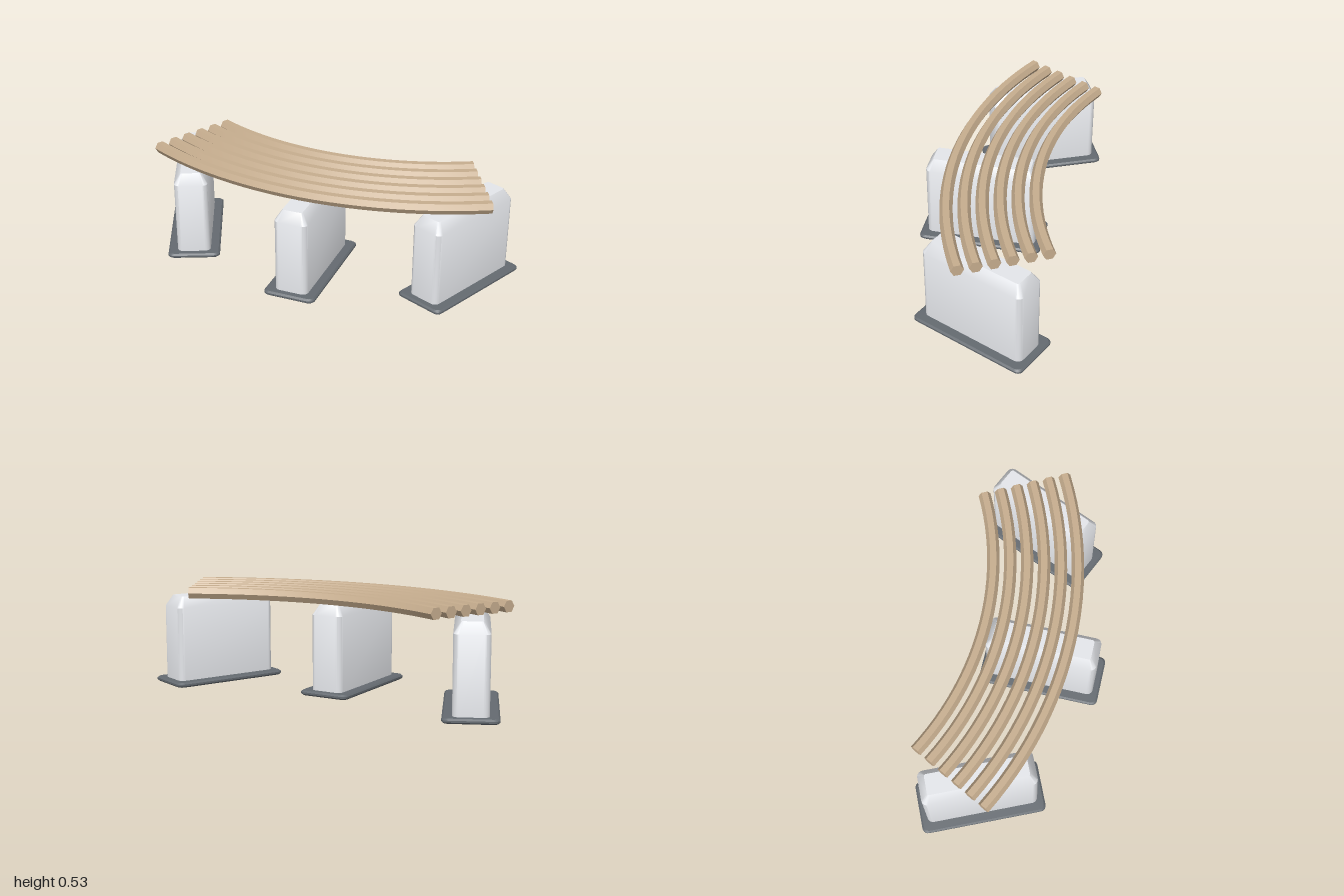
import * as THREE from 'three';
import { toCreasedNormals } from 'three/addons/utils/BufferGeometryUtils.js';

const ARC_Z = -1.747; // centre of the curve shared by the slats
const wood = new THREE.MeshStandardMaterial({ color: 0xc6ad8e });
const concrete = new THREE.MeshStandardMaterial({ color: 0xe4e6ea });
const rubber = new THREE.MeshStandardMaterial({ color: 0x646a70 });

// Skins a list of equal-length rings, optionally closing both ends
function loft(rings, caps) {
  const n = rings[0].length, index = [];
  for (let i = 0; i < rings.length - 1; i++) {
    for (let j = 0; j < n; j++) {
      const a = i * n + j, b = i * n + (j + 1) % n;
      index.push(a, b, b + n, a, b + n, a + n);
    }
  }
  const last = (rings.length - 1) * n;
  for (let j = 1; caps && j < n - 1; j++) {
    index.push(0, j + 1, j, last, last + j, last + j + 1);
  }
  const geo = new THREE.BufferGeometry().setFromPoints(rings.flat());
  geo.setIndex(index);
  return toCreasedNormals(geo, 0.6);
}

// Horizontal rounded rectangle with half sizes hx, hz and corner radius r
function roundedRing(hx, hz, r, y) {
  const pts = [], steps = 5;
  [[1, -1], [-1, -1], [-1, 1], [1, 1]].forEach(([sx, sz], k) => {
    for (let s = 0; s <= steps; s++) {
      const t = (k + s / steps) * Math.PI / 2;
      pts.push(new THREE.Vector3(
        sx * (hx - r) + r * Math.cos(t), y, sz * (hz - r) - r * Math.sin(t)));
    }
  });
  return pts;
}

// Hexagonal bar bent along an arc of the given radius
function slatGeometry(radius) {
  const rings = [], segs = 24, half = 0.48, size = 0.032;
  for (let i = 0; i <= segs; i++) {
    const a = half * (2 * i / segs - 1), ring = [];
    for (let k = 0; k < 6; k++) {
      const p = Math.PI / 6 + k * Math.PI / 3;
      const r = radius + size * Math.sin(p);
      ring.push(new THREE.Vector3(
        r * Math.sin(a), 0.507 + size * Math.cos(p), ARC_Z + r * Math.cos(a)));
    }
    rings.push(ring);
  }
  return loft(rings, true);
}

function mesh(name, geo, mat, parent) {
  const m = new THREE.Mesh(geo, mat);
  m.name = name;
  parent.add(m);
}

export function createModel() {
  const bench = new THREE.Group();
  bench.name = 'curvedBench';

  // Six concentric seat slats
  const seat = new THREE.Group();
  seat.name = 'seat';
  bench.add(seat);
  for (let i = 0; i < 6; i++) {
    mesh('seatSlat' + (i + 1), slatGeometry(1.537 + i * 0.0866), wood, seat);
  }

  // Block with a tapered top
  const blockGeo = loft([
    roundedRing(0.088, 0.288, 0.03, 0.012),
    roundedRing(0.088, 0.288, 0.03, 0.415),
    roundedRing(0.053, 0.253, 0.012, 0.472),
  ], true);

  // Bevelled foot plate, open underneath
  const plateGeo = loft([
    roundedRing(0.065, 0.245, 0.01, 0.012),
    roundedRing(0.075, 0.255, 0.01, 0.001),
    roundedRing(0.129, 0.314, 0.027, 0),
    roundedRing(0.137, 0.323, 0.03, 0.008),
    roundedRing(0.137, 0.323, 0.03, 0.017),
    roundedRing(0.129, 0.314, 0.027, 0.025),
    roundedRing(0.085, 0.285, 0.027, 0.026),
  ], false);

  // Three supports, the outer two splayed towards the back
  [['right', -1, -0.07], ['middle', 0, 0.0915], ['left', 1, -0.07]].forEach(([side, s, z]) => {
    const support = new THREE.Group();
    support.name = side + 'Support';
    support.position.set(s * 0.7525, 0, z);
    support.rotation.y = -s * THREE.MathUtils.degToRad(24);
    mesh(side + 'Block', blockGeo, concrete, support);
    mesh(side + 'FootPlate', plateGeo, rubber, support);
    bench.add(support);
  });
  return bench;
}
